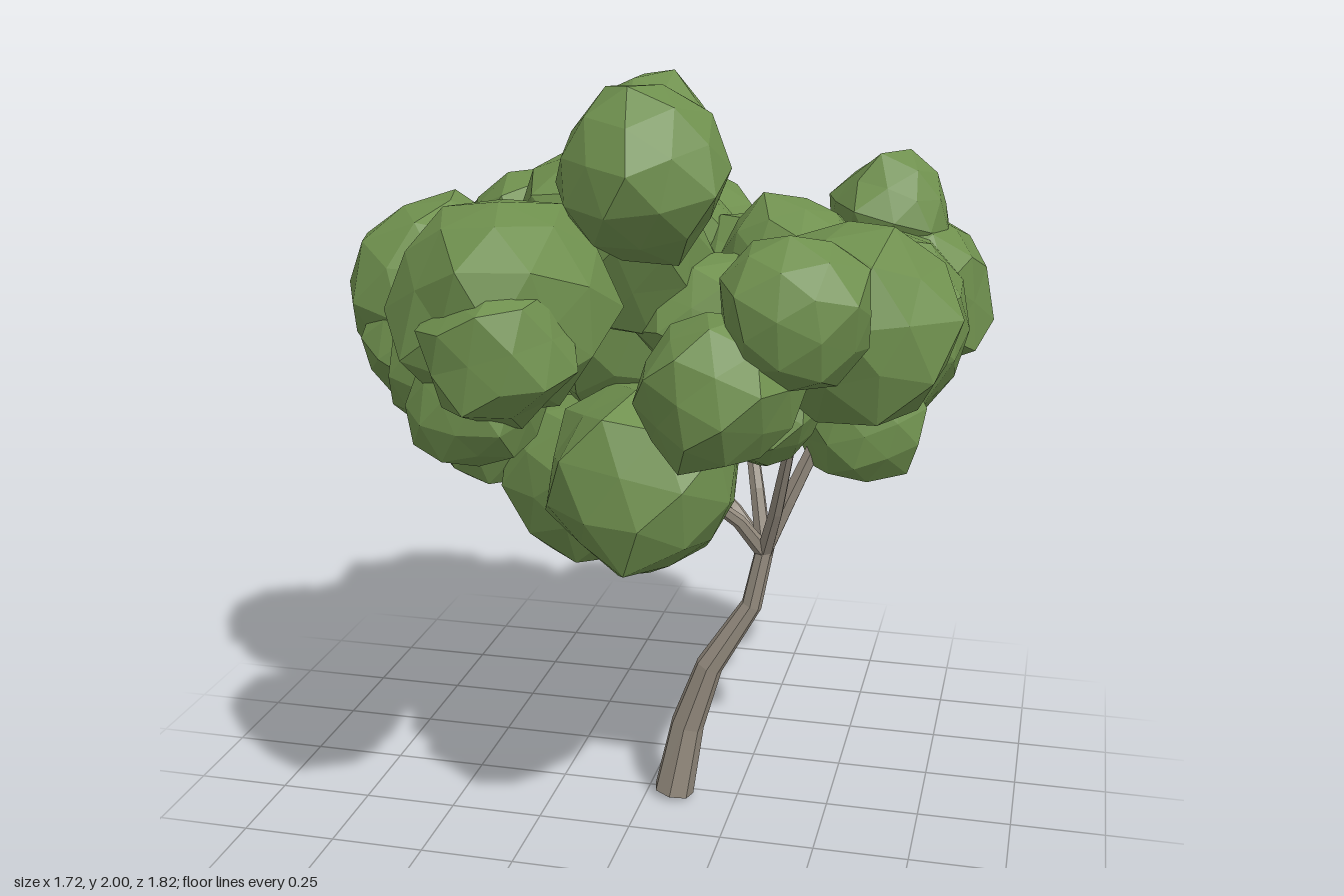
import * as THREE from 'three';

const leafGreen = new THREE.MeshStandardMaterial({ color: 0x6f904e, flatShading: true });
leafGreen.name = 'leaf green';
const barkGrey = new THREE.MeshStandardMaterial({ color: 0x948b7e, flatShading: true });
barkGrey.name = 'bark grey';

// Leaf clumps: x, y, z, radius
const crown = [
  [0.09, 1.79, 0.46, 0.21], [0.01, 1.81, 0.01, 0.17],
  [0.0, 1.51, -0.25, 0.18], [0.22, 1.45, -0.22, 0.16],
  [-0.29, 1.51, 0.01, 0.23], [0.38, 1.51, 0.05, 0.19],
  [-0.43, 1.49, -0.22, 0.17], [-0.04, 1.6, 0.24, 0.24],
  [0.2, 1.4, 0.2, 0.18],
];
const outer = [
  [-0.6, 1.37, -0.09, 0.27], [-0.63, 1.22, -0.25, 0.18],
  [-0.6, 1.27, 0.05, 0.17], [-0.38, 1.3, 0.42, 0.18],
  [-0.2, 1.5, 0.62, 0.26], [-0.17, 1.43, 0.75, 0.18],
  [-0.25, 1.29, 0.68, 0.16], [0.48, 1.53, 0.65, 0.18],
  [0.31, 1.34, 0.66, 0.19], [0.58, 1.43, 0.33, 0.25],
  [0.56, 1.31, -0.22, 0.27], [0.62, 1.36, -0.44, 0.24],
  [0.57, 1.57, -0.44, 0.17], [0.32, 1.28, -0.69, 0.24],
  [0.0, 1.45, -0.57, 0.2], [-0.35, 1.36, -0.47, 0.27],
  [-0.28, 1.4, -0.6, 0.22],
];
const lower = [
  [0.04, 0.99, 0.25, 0.26], [-0.14, 0.93, 0.08, 0.23],
  [-0.1, 0.95, -0.2, 0.2], [-0.42, 1.06, 0.05, 0.18],
  [-0.42, 1.08, -0.41, 0.2], [0.55, 1.09, -0.06, 0.17],
  [0.1, 1.04, -0.51, 0.2], [0.0, 1.3, -0.05, 0.29],
  [0.32, 1.17, 0.14, 0.16],
];

// A faceted ball, dented by a rule that depends on direction and seed
function clump([x, y, z, r], seed) {
  const geo = new THREE.IcosahedronGeometry(1, 1);
  const pos = geo.attributes.position;
  const v = new THREE.Vector3();
  for (let i = 0; i < pos.count; i++) {
    v.fromBufferAttribute(pos, i);
    const wave = Math.sin(v.x * 5.1 + v.y * 3.7 + seed * 2.3) + Math.sin(v.z * 5.9 - v.y * 4.3 + seed * 4.1);
    v.multiplyScalar(r * (0.98 + 0.055 * wave));
    pos.setXYZ(i, v.x, v.y, v.z);
  }
  geo.rotateY(seed * 1.7).rotateX(seed * 0.9);
  geo.computeVertexNormals();
  const mesh = new THREE.Mesh(geo, leafGreen);
  mesh.position.set(x, y, z);
  return mesh;
}

// A tapered limb following points [x, y, z, radius]
function limb(points, sides) {
  const n = points.length - 1;
  const geo = new THREE.CylinderGeometry(1, 1, 1, sides, n);
  const pos = geo.attributes.position;
  const at = (k) => new THREE.Vector3(...points[Math.min(n, Math.max(0, k))].slice(0, 3));
  const up = new THREE.Vector3(0, 1, 0);
  const v = new THREE.Vector3();
  for (let i = 0; i < pos.count; i++) {
    v.fromBufferAttribute(pos, i);
    const k = Math.round((v.y + 0.5) * n);
    const along = at(k + 1).sub(at(k - 1)).normalize();
    const turn = new THREE.Quaternion().setFromUnitVectors(up, along);
    v.setY(0).multiplyScalar(points[k][3]).applyQuaternion(turn).add(at(k));
    pos.setXYZ(i, v.x, Math.max(0, v.y), v.z);
  }
  geo.computeVertexNormals();
  return new THREE.Mesh(geo, barkGrey);
}

export function createModel() {
  const tree = new THREE.Group();
  tree.name = 'tree';

  const trunk = limb([
    [0.075, 0.01, 0.035, 0.056], [0.11, 0.21, 0.022, 0.047], [0.17, 0.39, 0.022, 0.038],
    [0.28, 0.57, 0.0, 0.029], [0.315, 0.75, -0.015, 0.025],
  ], 7);
  trunk.name = 'trunk';
  tree.add(trunk);

  // Branches fan out from the top of the trunk into the leaves
  const fork = [0.31, 0.72, -0.013, 0.023];
  const branches = [
    [[0.37, 0.87, -0.02, 0.024], [0.47, 1.1, -0.04, 0.019]],
    [[0.35, 0.86, 0.055, 0.02], [0.4, 1.08, 0.15, 0.015]],
    [[0.25, 0.82, 0.04, 0.019], [0.12, 0.95, 0.13, 0.014]],
    [[0.28, 0.88, -0.06, 0.02], [0.22, 1.12, -0.18, 0.014]],
    [[0.22, 0.82, -0.06, 0.019], [0.02, 0.97, -0.14, 0.014]],
  ];
  branches.forEach((path, i) => {
    const branch = limb([fork, ...path], 6);
    branch.name = `branch${i + 1}`;
    tree.add(branch);
  });

  // Foliage in three tiers
  let seed = 1;
  for (const [name, list] of Object.entries({ crownLeaves: crown, outerLeaves: outer, lowerLeaves: lower })) {
    const tier = new THREE.Group();
    tier.name = name;
    for (const spec of list) {
      const mesh = clump(spec, seed++);
      mesh.name = 'leafClump';
      tier.add(mesh);
    }
    tree.add(tier);
  }
  return tree;
}
